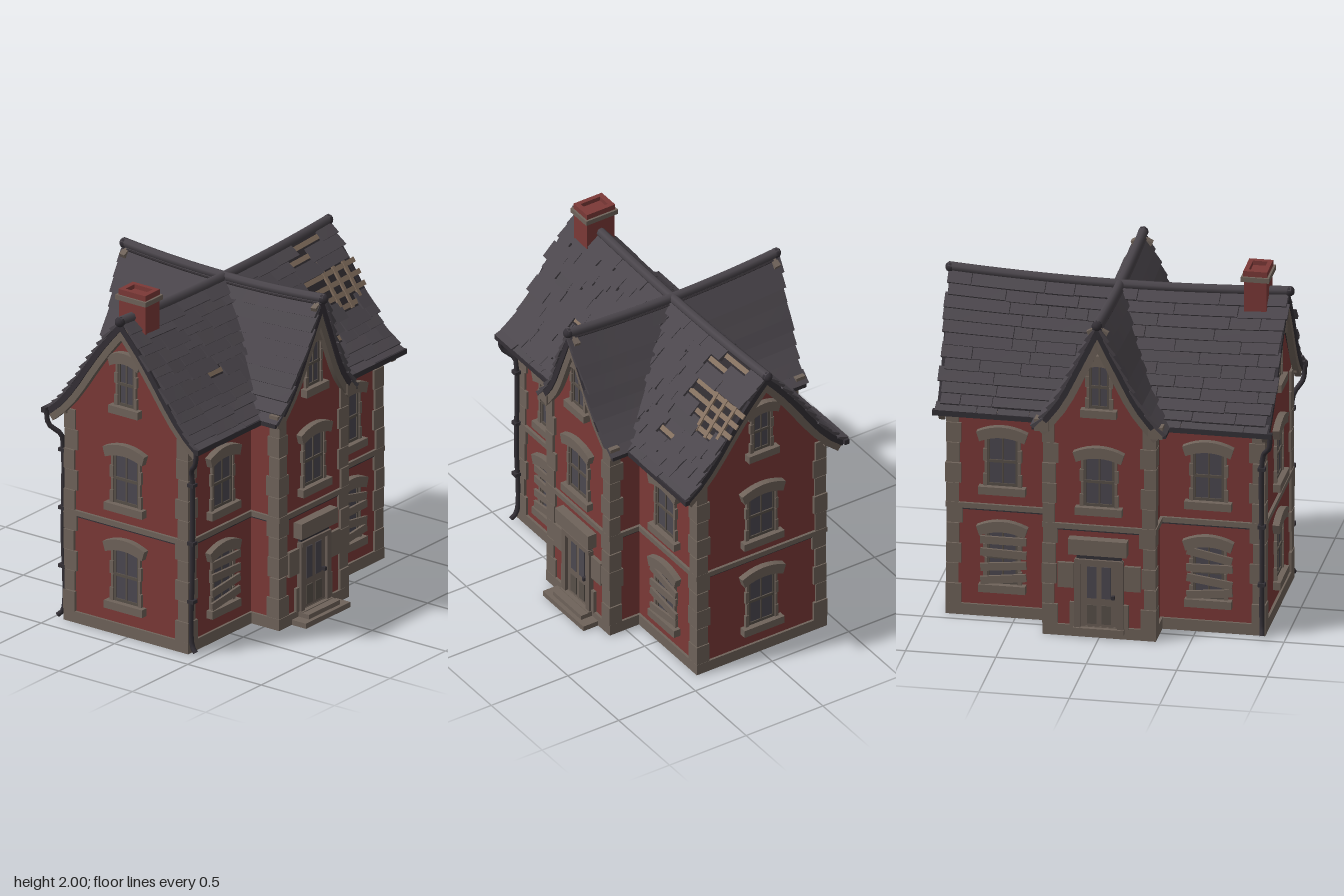
import * as THREE from 'three';
import { mergeGeometries } from 'three/addons/utils/BufferGeometryUtils.js';

const mat = (name, color) => { const m = new THREE.MeshStandardMaterial({ color }); m.name = name; return m; };

export function createModel() {
  const brick = mat('brick red', 0x7c3937), stone = mat('stone', 0x6f635a), slate = mat('slate', 0x4b464c);
  const deckDark = mat('dark underlay', 0x2f2b2f), iron = mat('dark iron', 0x343036), glass = mat('glass', 0x4c4850);
  const wood = mat('bare wood', 0x84705f), door = mat('door wood', 0x6a5e56), sash = mat('sash', 0x585049);

  let seed = 7;
  const rnd = (a = 0, b = 1) => { seed = (seed * 16807) % 2147483647; return a + (b - a) * seed / 2147483647; };
  const root = new THREE.Group(), house = new THREE.Group();
  root.name = 'house'; house.name = 'building'; house.position.z = -0.01;
  root.add(house);
  const add = (parent, name, geo, m) => { const o = new THREE.Mesh(geo, m); o.name = name; parent.add(o); return o; };
  // Box given by its limits
  const boxGeo = (x0, x1, y0, y1, z0, z1) => new THREE.BoxGeometry(x1 - x0, y1 - y0, z1 - z0)
    .translate((x0 + x1) / 2, (y0 + y1) / 2, (z0 + z1) / 2);
  const box = (parent, name, m, ...b) => add(parent, name, boxGeo(...b), m);
  const group = (parent, name, angle, dist) => {
    const g = new THREE.Group(); g.name = name; g.rotation.y = angle;
    g.position.set(Math.sin(angle) * dist, 0, Math.cos(angle) * dist); parent.add(g); return g;
  };

  // Roof profiles: distance from ridge, height
  const curve = pts => new THREE.SplineCurve(pts.map(p => new THREE.Vector2(...p)));
  const main = { len: 0.95, taper: 0.02, half: 0.87, wall: 0.41, rows: 12,
    line: curve([[0, 1.82], [0.11, 1.70], [0.22, 1.56], [0.35, 1.38], [0.45, 1.27], [0.52, 1.215]]) };
  const wing = { len: 0.69, taper: 0.07, half: 0.6, wall: 0.3, rows: 9,
    line: curve([[0, 1.82], [0.12, 1.58], [0.23, 1.37], [0.355, 1.215]]) };
  const sag = (u, len) => 0.033 * (u / len) ** 2;

  // A plank bent onto a roof slope; a and b are the lifts at its upper and lower edge
  function plank(r, u0, u1, t0, t1, a, b, nu = 2, nt = 1) {
    const g = new THREE.BoxGeometry(1, 1, 1, nu, 1, nt), p = g.attributes.position;
    for (let i = 0; i < p.count; i++) {
      const k = p.getZ(i) + 0.5, t = Math.min(1, Math.max(0, t0 + (t1 - t0) * k));
      const u = (u0 + (u1 - u0) * (p.getX(i) + 0.5)) * (1 - r.taper * t);
      const q = r.line.getPointAt(t), d = r.line.getTangentAt(t), top = p.getY(i) > 0 ? 1 : 0;
      const lift = (a[0] + (b[0] - a[0]) * k) * (1 - top) + (a[1] + (b[1] - a[1]) * k) * top;
      p.setXYZ(i, u, q.y + d.x * lift + sag(u, r.len) * (1 - t), q.x - d.y * lift);
    }
    g.computeVertexNormals();
    return g;
  }

  // Walls: gabled prisms that follow the roof profiles
  function walls(r, name, angle) {
    const pts = [], s = new THREE.Shape();
    for (let i = 0; i <= 20; i++) { const q = r.line.getPointAt(i / 20); if (q.x < r.wall) pts.push([q.x, q.y - 0.04]); }
    const y = pts[pts.length - 1][1] - 0.03;
    s.moveTo(-r.wall, 0); s.lineTo(r.wall, 0); s.lineTo(r.wall, y);
    pts.slice().reverse().forEach(q => s.lineTo(q[0], q[1]));
    pts.slice(1).forEach(q => s.lineTo(-q[0], q[1]));
    s.lineTo(-r.wall, y);
    const g = new THREE.ExtrudeGeometry(s, { depth: r.half * 2, bevelEnabled: false }).translate(0, 0, -r.half);
    add(house, name, g.rotateY(angle), brick);
  }
  walls(main, 'mainWalls', Math.PI / 2);
  walls(wing, 'wingWalls', 0);

  // Plinth, string course and quoins
  for (const [x, z] of [[0.87, 0.41], [0.3, 0.6]]) {
    box(house, 'plinth', stone, -x - 0.014, x + 0.014, 0, 0.065, -z - 0.014, z + 0.014);
    box(house, 'stringCourse', stone, -x - 0.016, x + 0.016, 0.628, 0.658, -z - 0.016, z + 0.016);
    box(house, 'stringShadow', iron, -x - 0.008, x + 0.008, 0.618, 0.628, -z - 0.008, z + 0.008);
    for (const sx of [-1, 1]) for (const sz of [-1, 1]) {
      const blocks = [];
      for (let i = 0; i < 10; i++) {
        const y0 = 0.065 + i * 0.118, w = (i % 2 ? 0.072 : 0.084) + rnd(-0.006, 0.006), o = rnd(0.01, 0.017);
        blocks.push(new THREE.BoxGeometry(w, 0.114, w).translate(sx * (x + o - w / 2), y0 + 0.058, sz * (z + o - w / 2)));
      }
      add(house, 'quoins', mergeGeometries(blocks), stone);
    }
  }

  // Roof slopes with overlapping courses, broken on the front of the main roof
  function slope(r, name, angle, broken, single) {
    const g = group(house, name, angle, 0), tiles = [], laths = [], n = r.rows;
    add(g, 'roofDeck', plank(r, -r.len + 0.04, r.len - 0.04, 0, 1, [-0.03, 0], [-0.03, 0], 12, 8), deckDark);
    for (let i = 0; i < n; i++) {
      const t0 = i / n, t1 = Math.min(1, (i + 1.25) / n), end = () => r.len + rnd(-0.035, 0.005);
      const last = single ? r.len + rnd(-0.012, 0.008) : end();
      for (let u = single ? -r.len + rnd(-0.008, 0.012) : -end(); u < last - 0.005;) {
        let v = single ? last : u + rnd(0.1, broken ? 0.26 : 0.5);
        if (last - v < 0.07) v = last;
        const m = (u + v) / 2, hole = broken && ((m > 0.58 && i > 1 && i < 7 && rnd() < 0.7) || (Math.abs(m) > 0.3 && rnd() < 0.07));
        const th = rnd(0.017, 0.026), slip = broken ? rnd(-0.012, 0.022) : rnd(0, 0.006);
        if (!hole) tiles.push(plank(r, u, v - 0.004, t0, Math.min(1, t1 + slip), [0, 0.008], [0.004, th + 0.006], single ? 14 : 2));
        else laths.push(plank(r, u - 0.01, v + 0.01, t0 + 0.035, t0 + 0.07, [0, 0.008], [0, 0.008]));
        u = v;
      }
    }
    if (broken) for (const u of [0.68, 0.77, 0.86]) laths.push(plank(r, u, u + 0.022, 0.2, 0.58, [0, 0.013], [0, 0.013], 1, 4));
    add(g, 'slates', mergeGeometries(tiles), slate);
    if (laths.length) add(g, 'roofLaths', mergeGeometries(laths), wood);
    // Barge boards under both roof ends
    for (const s of [-1, 1]) {
      const a = r.len - 0.055, b = r.len - 0.02, u = s > 0 ? [a, b] : [-b, -a];
      add(g, 'bargeBoard', plank(r, ...u, 0, 1, [-0.068, -0.02], [-0.068, -0.02], 1, 8), stone);
      add(g, 'roofEdge', plank(r, s > 0 ? b - 0.02 : -b - 0.008, s > 0 ? b + 0.008 : -b + 0.02, 0, 1, [-0.03, 0.004], [-0.03, 0.004], 1, 8), iron);
    }
  }
  slope(main, 'frontSlope', 0, true, false);
  slope(main, 'backSlope', Math.PI, false, false);
  slope(wing, 'wingSlopeLeft', Math.PI / 2, false, true);
  slope(wing, 'wingSlopeRight', -Math.PI / 2, false, true);

  // Ridge caps and finials
  for (const [r, angle] of [[main, 0], [wing, Math.PI / 2]]) {
    const g = group(house, 'ridge', angle, 0), pts = [];
    for (let i = -6; i <= 6; i++) { const u = i / 6 * r.len; pts.push(new THREE.Vector3(u, 1.833 + sag(u, r.len), 0)); }
    add(g, 'ridgeCap', new THREE.TubeGeometry(new THREE.CatmullRomCurve3(pts), 24, 0.027, 7), slate);
    for (const s of [-1, 1]) add(g, 'finial', new THREE.SphereGeometry(0.029, 10, 7).translate(s * (r.len - 0.012), 1.862, 0), iron);
  }

  // Gutters, eave corbels and downpipes
  for (const s of [-1, 1]) {
    for (const x of [-1, 1]) {
      box(house, 'gutter', iron, Math.min(x * 0.36, x * 0.94), Math.max(x * 0.36, x * 0.94), 1.205, 1.235, s * 0.52 - 0.015, s * 0.52 + 0.015);
      box(house, 'eaveSoffit', stone, Math.min(x * 0.3, x * 0.9), Math.max(x * 0.3, x * 0.9), 1.215, 1.24, Math.min(s * 0.4, s * 0.51), Math.max(s * 0.4, s * 0.51));
      box(house, 'wingGutter', iron, x * 0.358 - 0.014, x * 0.358 + 0.014, 1.205, 1.232, s * 0.57 - 0.06, s * 0.57 + 0.06);
      box(house, 'corbel', stone, x * 0.315 - 0.04, x * 0.315 + 0.04, 1.2, 1.27, s * 0.605 - 0.03, s * 0.605 + 0.03);
    }
    const path = [[-0.925, 1.22, 0.51], [-0.92, 1.14, 0.5], [-0.88, 1.08, 0.445], [-0.868, 1.02, 0.44], [-0.868, 0.5, 0.44], [-0.868, 0.05, 0.44], [-0.875, 0.015, 0.47]];
    const c = new THREE.CatmullRomCurve3(path.map(p => new THREE.Vector3(p[0], p[1], s * p[2])), false, 'centripetal');
    add(house, 'downpipe', new THREE.TubeGeometry(c, 40, 0.014, 8), iron);
    for (const y of [0.3, 0.64, 0.98]) box(house, 'pipeClip', iron, -0.888, -0.848, y, y + 0.02, s * 0.44 - 0.02, s * 0.44 + 0.02);
  }

  // Sash window with arched lintel, jambs, sill and optional nailed boards
  function windowUnit(parent, x, y0, y1, w, tilts) {
    const g = new THREE.Group(), h = w / 2, a = h + 0.045, y = y1 - 0.025;
    g.name = 'window'; g.position.x = x; parent.add(g);
    box(g, 'pane', glass, -h, h, y0, y1 + 0.015, -0.005, 0.004);
    box(g, 'centreBar', sash, -0.005, 0.005, y0, y1, 0, 0.009);
    const mid = (y0 + y1) / 2;
    box(g, 'meetingRail', sash, -h, h, mid - 0.008, mid + 0.008, 0, 0.012);
    box(g, 'bottomRail', sash, -h, h, y0, y0 + 0.016, 0, 0.01);
    for (const s of [-1, 1]) {
      box(g, 'sashStile', sash, s * (h - 0.006) - 0.007, s * (h - 0.006) + 0.007, y0, y1, 0, 0.01);
      for (let i = 0; i < 4; i++) {
        const d = (y1 - y0) / 4, k = i % 2 ? 0.014 : 0.022;
        box(g, 'jamb', stone, s * (h + k / 2) - k / 2, s * (h + k / 2) + k / 2, y0 + d * i, y0 + d * (i + 1) - 0.003, 0, 0.018);
      }
    }
    box(g, 'sill', stone, -a, a, y0 - 0.045, y0, 0, 0.042);
    const s = new THREE.Shape();
    s.moveTo(-a + 0.005, y); s.quadraticCurveTo(0, y + 0.055, a - 0.005, y);
    s.lineTo(a + 0.012, y + 0.055); s.quadraticCurveTo(0, y + 0.125, -a - 0.012, y + 0.055); s.closePath();
    add(g, 'lintel', new THREE.ExtrudeGeometry(s, { depth: 0.038, bevelEnabled: false, curveSegments: 8 }), stone);
    if (tilts) tilts.forEach((t, i) => {
      const b = box(g, 'board', stone, -a + 0.01, a + 0.005, -0.022, 0.022, 0.02, 0.034);
      b.position.y = y0 + 0.035 + i * 0.075; b.rotation.z = t;
    });
  }

  // Panelled door with a stone surround
  function doorUnit(parent) {
    const g = new THREE.Group(); g.name = 'entrance'; parent.add(g);
    box(g, 'doorLeaf', door, -0.1, 0.1, 0.05, 0.45, 0, 0.012);
    box(g, 'doorShadow', iron, -0.125, 0.125, 0.45, 0.49, 0, 0.02);
    box(g, 'doorHead', stone, -0.165, 0.16, 0.495, 0.585, 0, 0.055);
    box(g, 'transom', door, -0.13, 0.13, 0.435, 0.462, 0, 0.035);
    box(g, 'threshold', stone, -0.14, 0.14, 0.03, 0.06, 0, 0.04);
    box(g, 'doorKnob', iron, 0.07, 0.088, 0.235, 0.255, 0.012, 0.035);
    for (const s of [-1, 1]) {
      box(g, 'doorPost', door, s * 0.118 - 0.017, s * 0.118 + 0.017, 0.05, 0.455, 0, 0.03);
      box(g, 'doorGlass', glass, s * 0.04 - 0.025, s * 0.04 + 0.025, 0.23, 0.415, 0.01, 0.016);
      box(g, 'doorPanel', sash, s * 0.04 - 0.026, s * 0.04 + 0.026, 0.08, 0.19, 0.01, 0.017);
      box(g, 'surroundBlock', stone, s * 0.185 - 0.045, s * 0.185 + 0.045, 0.285, 0.43, 0, 0.02);
      box(g, 'surroundFoot', stone, s * 0.148 - 0.014, s * 0.148 + 0.014, 0.06, 0.2, 0, 0.018);
    }
  }

  // Openings on the front and back, then on the two gable ends
  for (const angle of [0, Math.PI]) {
    const f = group(house, 'wingFacade', angle, 0.6), m = group(house, 'mainFacade', angle, 0.41);
    doorUnit(f);
    windowUnit(f, 0, 0.77, 1.06, 0.17);
    windowUnit(f, 0, 1.345, 1.6, 0.11);
    windowUnit(m, -0.57, 0.77, 1.06, 0.17);
    windowUnit(m, 0.57, 0.77, 1.06, 0.17);
    windowUnit(m, -0.57, 0.195, 0.505, 0.17, [0.12, 0.1, -0.03, 0]);
    windowUnit(m, 0.57, 0.195, 0.505, 0.17, [0.1, -0.14, 0.02, -0.2]);
  }
  for (const angle of [Math.PI / 2, -Math.PI / 2]) {
    const f = group(house, 'gableFacade', angle, 0.87);
    windowUnit(f, 0, 0.195, 0.505, 0.17);
    windowUnit(f, 0, 0.77, 1.06, 0.17);
    windowUnit(f, 0, 1.345, 1.6, 0.11);
  }

  // Front steps
  box(root, 'lowerStep', stone, -0.2, 0.2, 0, 0.03, 0.58, 0.7);
  box(root, 'upperStep', stone, -0.14, 0.14, 0.03, 0.056, 0.58, 0.675);

  // Chimney with a hollow top
  const rect = (T, w, h) => { const s = new T(); s.moveTo(-w, -h); s.lineTo(w, -h); s.lineTo(w, h); s.lineTo(-w, h); s.closePath(); return s; };
  const chimney = new THREE.Group(); chimney.name = 'chimney'; chimney.position.set(-0.765, 0, 0); house.add(chimney);
  box(chimney, 'stack', brick, -0.063, 0.063, 1.6, 1.945, -0.09, 0.09);
  box(chimney, 'chimneyBand', stone, -0.078, 0.078, 1.94, 1.968, -0.104, 0.104);
  const rim = rect(THREE.Shape, 0.066, 0.092);
  rim.holes.push(rect(THREE.Path, 0.04, 0.062));
  add(chimney, 'chimneyRim', new THREE.ExtrudeGeometry(rim, { depth: 0.035, bevelEnabled: false }).rotateX(-Math.PI / 2).translate(0, 1.965, 0), brick);
  box(chimney, 'flue', brick, -0.045, 0.045, 1.96, 1.975, -0.066, 0.066);
  return root;
}
